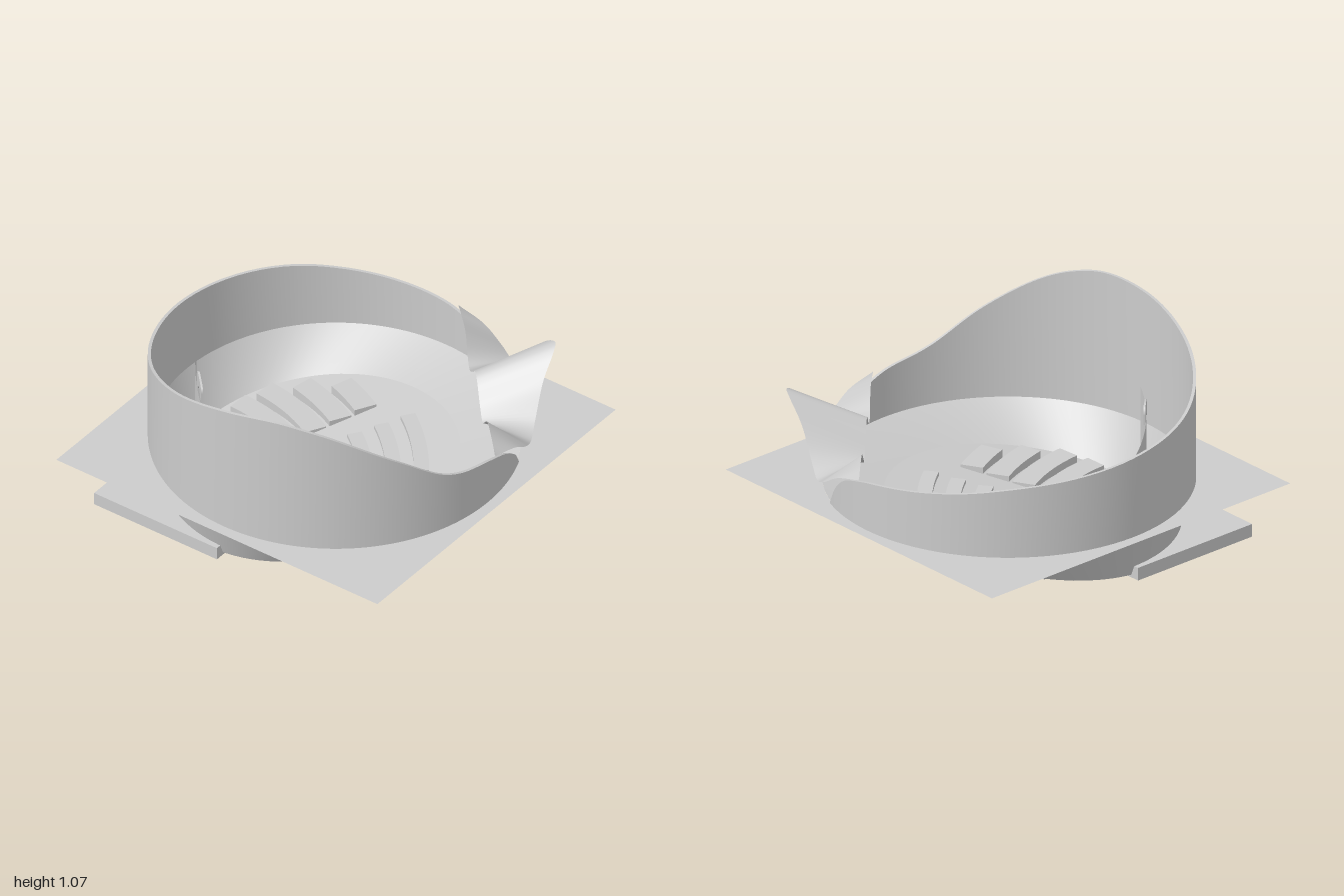
import * as THREE from 'three';

const GROUND = 0.32;
const material = new THREE.MeshStandardMaterial({ color: 0xcccccc, side: THREE.DoubleSide });
const V = (x, y, z) => new THREE.Vector3(x, y, z);
const rad = THREE.MathUtils.degToRad;
const floorY = (x, z) => 0.1445 + 0.12 * (x + z);

function part(name, geometry) {
  const mesh = new THREE.Mesh(geometry, material);
  mesh.name = name;
  return mesh;
}

// Ruled surface between two rows of points
function ruled(a, b) {
  const pos = [], index = [];
  a.forEach((p, i) => {
    pos.push(p.x, p.y, p.z, b[i].x, b[i].y, b[i].z);
    if (i) {
      const k = 2 * i - 2;
      index.push(k, k + 1, k + 2, k + 1, k + 3, k + 2);
    }
  });
  const g = new THREE.BufferGeometry();
  g.setAttribute('position', new THREE.Float32BufferAttribute(pos, 3));
  g.setIndex(index);
  g.computeVertexNormals();
  return g;
}

// Plan outline (shape x, y = model x, z) made into a slab hanging down from `top`
function slab(shape, top, thickness) {
  const g = new THREE.ExtrudeGeometry(shape, { depth: thickness, bevelEnabled: false, curveSegments: 20 });
  return g.rotateX(Math.PI / 2).translate(0, top, 0);
}

function ring(cx, cz, r, height) {
  return Array.from({ length: 97 }, (_, i) => {
    const a = (i / 96) * Math.PI * 2;
    const x = cx + r * Math.cos(a), z = cz + r * Math.sin(a);
    return V(x, height(x, z), z);
  });
}

// Outer wall: its rim height changes round the circle, with a gap at the front corner
function wall() {
  const group = new THREE.Group();
  group.name = 'wall';
  const rim = [[67, 0.32], [71, 0.41], [76, 0.476], [81, 0.525], [90, 0.575], [102, 0.615], [109, 0.66],
    [124, 0.82], [143, 0.99], [153, 1.045], [163, 1.07], [180, 1.04], [205, 0.94], [236, 0.82], [270, 0.755],
    [310, 0.695], [325, 0.66], [341, 0.625], [355, 0.595], [362, 0.575], [372, 0.52], [378, 0.44], [383, 0.32]];
  const samples = new THREE.CatmullRomCurve3(rim.map(([a, h]) => V(a / 100, h, 0))).getPoints(220);
  const row = (r, level) => samples.map((p) => {
    const a = rad(p.x * 100);
    return V(r * Math.cos(a), level ?? Math.max(p.y, GROUND), r * Math.sin(a));
  });
  group.add(
    part('wallOutside', ruled(row(0.942, GROUND), row(0.942))),
    part('wallInside', ruled(row(0.926, GROUND), row(0.926))),
    part('wallRim', ruled(row(0.942), row(0.926))),
  );
  return group;
}

// Wavy canopy over the entrance, mirrored about the diagonal
function canopy() {
  const edge = (half) => {
    const pts = half.map((p) => V(...p));
    const mirrored = pts.slice(0, -1).reverse().map((p) => V(p.z, p.y, p.x));
    return new THREE.CatmullRomCurve3([...pts, ...mirrored]).getPoints(112);
  };
  const outer = edge([[0.06, 0.58, 0.95], [0.22, 0.535, 0.95], [0.34, 0.465, 0.935], [0.42, 0.44, 0.905],
    [0.5, 0.5, 0.87], [0.62, 0.65, 0.83], [0.73, 0.75, 0.81], [0.785, 0.775, 0.785]]);
  const inner = edge([[0.06, 0.585, 0.945], [0.14, 0.605, 0.865], [0.24, 0.6, 0.765], [0.3, 0.53, 0.7],
    [0.34, 0.49, 0.66], [0.4, 0.53, 0.6], [0.46, 0.6, 0.54], [0.5, 0.625, 0.5]]);
  return part('canopy', ruled(inner, outer));
}

// Curved seat rows in three blocks around the stage
function seats() {
  const group = new THREE.Group();
  group.name = 'seats';
  const c = -0.73;
  const addRow = (name, i, r0, r1, from, to) => {
    const s = new THREE.Shape();
    s.absarc(c, c, r1, rad(from), rad(to), false);
    s.absarc(c, c, r0, rad(to), rad(from), true);
    s.closePath();
    group.add(part(name, slab(s, 0.125 + 0.026 * i, 0.065)));
  };
  [1, 4.5, 11.3, 18.2].forEach((start, i) => {
    const r = 0.81 + 0.138 * i;
    addRow('rightSeatRow', i, r, r + 0.12, start, 29);
    addRow('leftSeatRow', i, r, r + 0.12, 61, 90 - start);
  });
  for (let i = 0; i < 5; i++) {
    const r = 0.85 + 0.14 * i;
    addRow('middleSeatRow', i, r, r + 0.077, 35.8, 54.2);
  }
  return group;
}

export function createModel() {
  const model = new THREE.Group();
  model.name = 'amphitheatre';

  // Ground sheet with a round hole
  const sheet = new THREE.Shape([[-1, -1], [1, -1], [1, 1], [-1, 1]].map(([x, y]) => new THREE.Vector2(x, y)));
  sheet.holes.push(new THREE.Path().absarc(0, 0, 0.93, 0, Math.PI * 2, true));
  const ground = new THREE.ShapeGeometry(sheet, 96).rotateX(-Math.PI / 2).translate(0, GROUND, 0);
  model.add(part('ground', ground));

  // Sunken bowl with a tilted floor
  model.add(part('bowlSide', ruled(ring(0, 0, 0.93, () => GROUND), ring(-0.08, -0.08, 0.735, floorY))));
  const floor = new THREE.CircleGeometry(0.735, 96).rotateX(-Math.PI / 2).translate(-0.08, 0, -0.08);
  const p = floor.attributes.position;
  for (let i = 0; i < p.count; i++) p.setY(i, floorY(p.getX(i), p.getZ(i)));
  floor.computeVertexNormals();
  model.add(part('floor', floor));

  // Stage: square at the back corner, round towards the seats
  const plan = new THREE.Shape();
  plan.moveTo(-0.865, -0.865);
  plan.lineTo(-0.1, -0.865);
  plan.lineTo(-0.1, -0.755);
  plan.absarc(-0.755, -0.755, 0.655, 0, Math.PI / 2, false);
  plan.lineTo(-0.865, -0.1);
  plan.closePath();
  model.add(part('stage', slab(plan, 0.09, 0.07)));

  // Bowed screen
  const bow = (y) => new THREE.QuadraticBezierCurve3(V(-0.134, y, -0.77), V(-0.524, y, -0.524), V(-0.77, y, -0.134)).getPoints(24);
  model.add(part('screen', ruled(bow(0.09), bow(0.62))));

  // Small arched ornament above the screen
  const arch = new THREE.Shape();
  arch.moveTo(-0.075, 0);
  arch.lineTo(-0.04, 0);
  arch.quadraticCurveTo(0, 0.07, 0.04, 0);
  arch.lineTo(0.075, 0);
  arch.lineTo(0.078, 0.06);
  arch.quadraticCurveTo(0.07, 0.1, 0.03, 0.1);
  arch.lineTo(-0.03, 0.09);
  arch.quadraticCurveTo(-0.075, 0.085, -0.075, 0.05);
  arch.closePath();
  const ornament = part('ornament', new THREE.ExtrudeGeometry(arch, { depth: 0.01, bevelEnabled: false }));
  ornament.position.set(-0.49, 0.66, -0.49);
  ornament.rotation.y = Math.PI / 4;
  model.add(ornament);

  model.add(wall(), canopy(), seats());
  return model;
}
